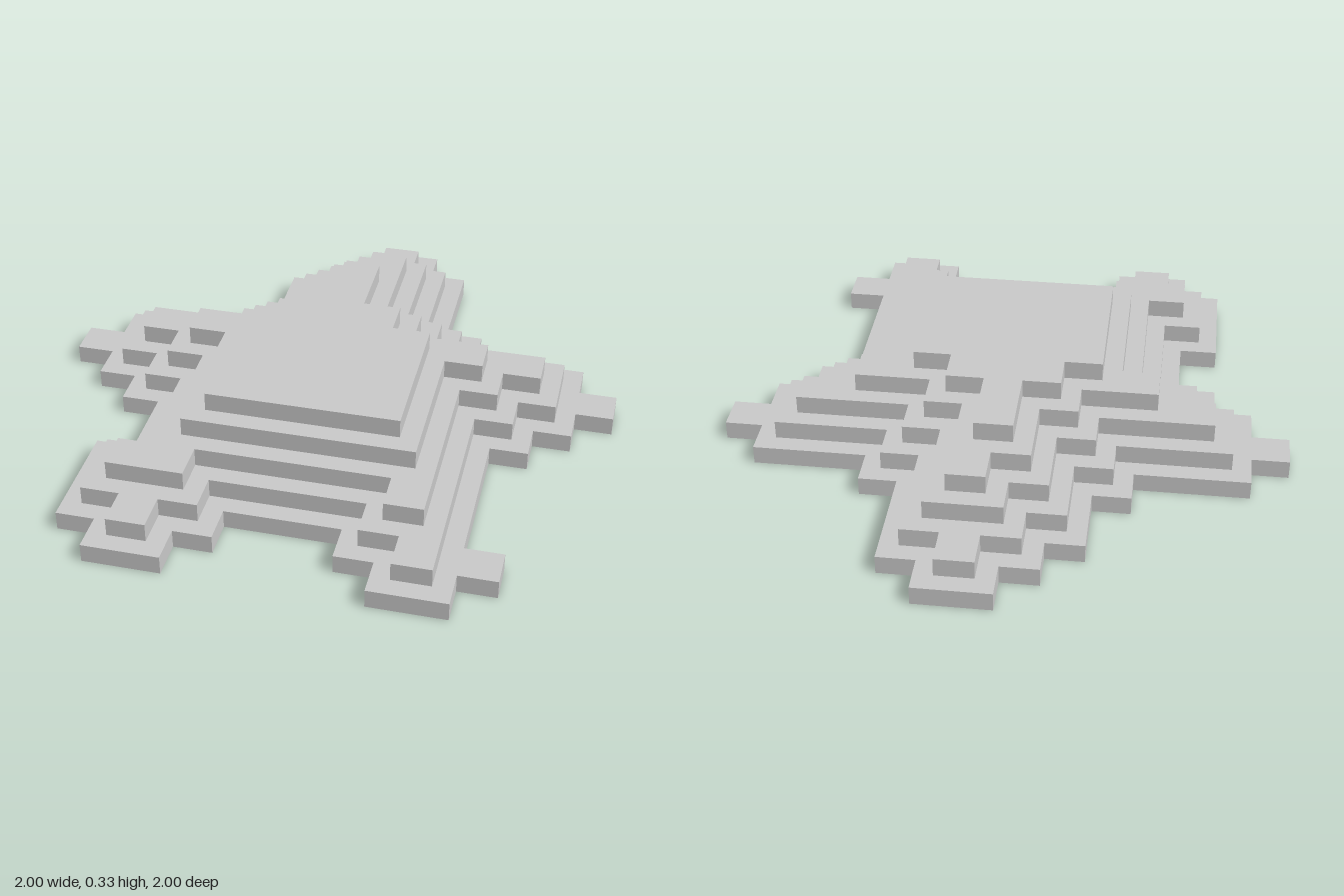
import * as THREE from 'three';

// grid step: every edge lies on a multiple of it, and each tier is one step high
const U = 1 / 15;

// Tier outlines from the bottom up, in grid steps. Each is a right-angled path
// given as alternating x, z, x, z ... starting at the back tip, down the right side.
const TIERS = [
  ['baseTier', [
    -1, -13, -3, -11, -5, -7, -7, -5, -13, -3, -15, -1, -13, 1, -11, 3, -9, 7, -11, 13, -9, 15,
    -5, 13, -3, 11, 3, 13, 5, 15, 9, 13, 11, 11, 9, 3, 11, 1, 13, -1, 15, -3, 13, -5, 7, -7, 5, -13, 3, -15]],
  ['secondTier', [
    0, -12, -2, -10, -4, -6, -6, -4, -12, 0, -10, 2, -8, 8, -10, 12, -8, 14,
    -6, 12, -4, 10, 4, 12, 6, 14, 8, 2, 10, 0, 12, -4, 6, -6, 4, -12, 2, -14]],
  ['thirdTier', [
    -1, -9, -3, -5, -5, -3, -11, -1, -9, 1, -7, 9, -9, 11,
    -5, 9, 5, 11, 7, 1, 9, -1, 11, -3, 5, -5, 3, -11]],
  ['fourthTier', [
    0, -8, -2, -4, -4, -2, -8, 0, -6, 8, 6, 0, 8, -2, 4, -4, 2, -10]],
  ['topTier', [
    -1, -3, -3, -1, -5, 7, 5, -1, 3, -3, 1, -7]],
];

// turns the alternating path into a flat slab one step thick
function slab(path) {
  const corners = path.map((v, i) => {
    const next = path[(i + 1) % path.length];
    const [x, z] = i % 2 === 0 ? [v, next] : [next, v];
    return new THREE.Vector2(x * U, -z * U);
  });
  // the closing corner joins the last z to the first x
  const geometry = new THREE.ExtrudeGeometry(new THREE.Shape(corners), { depth: U, bevelEnabled: false });
  return geometry.rotateX(-Math.PI / 2);
}

export function createModel() {
  const group = new THREE.Group();
  group.name = 'steppedStar';
  const material = new THREE.MeshStandardMaterial({ color: 0xcccccc, flatShading: true });

  // stack the tiers
  TIERS.forEach(([name, path], level) => {
    const tier = new THREE.Mesh(slab(path), material);
    tier.name = name;
    tier.position.y = level * U;
    group.add(tier);
  });
  return group;
}
